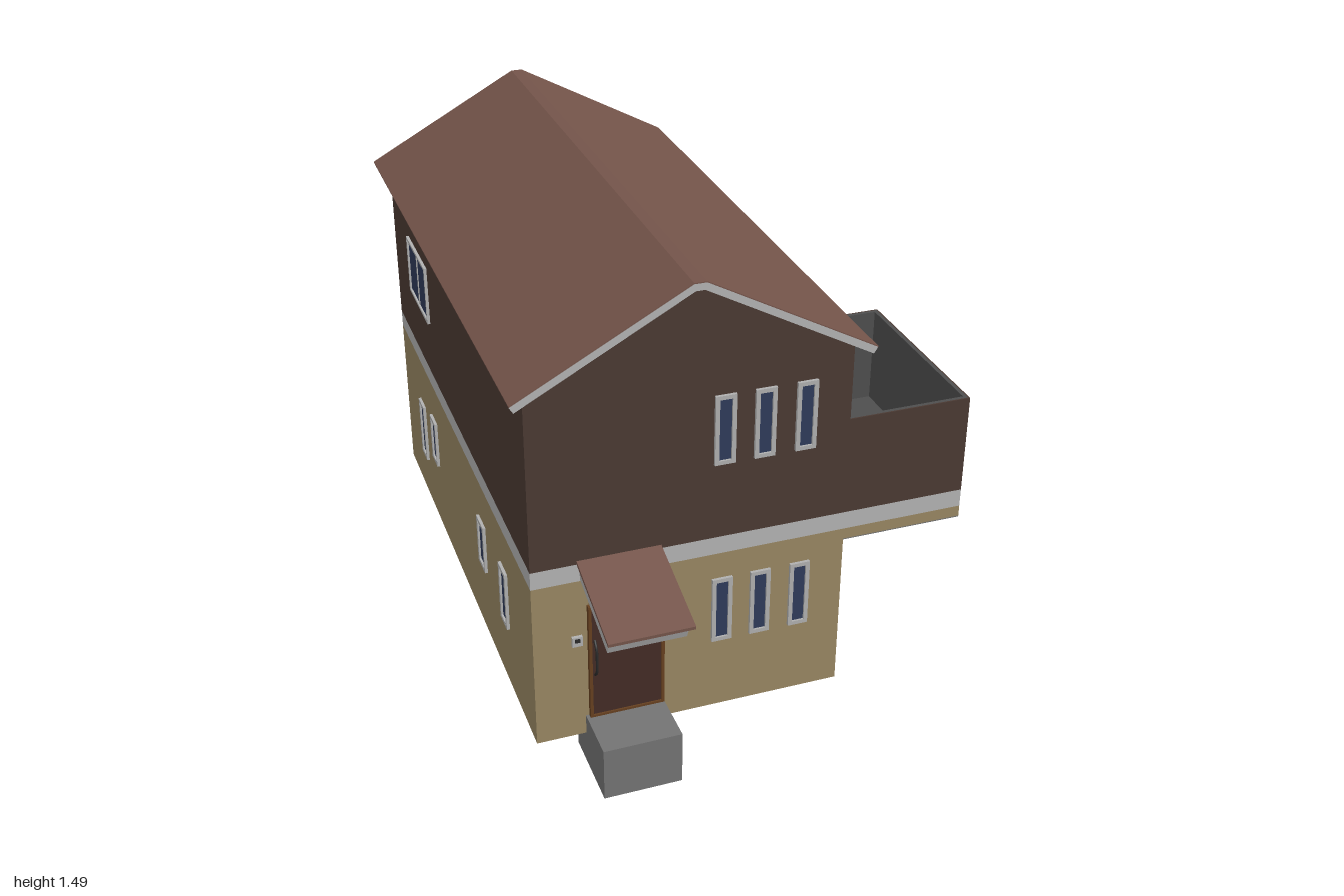
import * as THREE from 'three';

const mat = (color, side = THREE.FrontSide) => new THREE.MeshStandardMaterial({ color, side });
const M = {
  tan: mat(0x998763), brown: mat(0x4b3a33), band: mat(0xb3b3b3), roof: mat(0x74544a),
  frame: mat(0xb0b0b0), glass: mat(0x2f3b5a), stone: mat(0x737373), deck: mat(0x4e4e4e),
  door: mat(0x432c25), doorFrame: mat(0x664020), dark: mat(0x2a2a2a),
};
// House extents
const X0 = -0.62, X1 = 0.295, Z0 = -0.955, Z1 = 0.725;

function add(parent, name, geo, material) {
  const m = new THREE.Mesh(geo, material);
  m.name = name;
  parent.add(m);
  return m;
}

// Box given by its min and max on each axis
function box(parent, name, material, x0, x1, y0, y1, z0, z1) {
  const m = add(parent, name, new THREE.BoxGeometry(x1 - x0, y1 - y0, z1 - z0), material);
  m.position.set((x0 + x1) / 2, (y0 + y1) / 2, (z0 + z1) / 2);
  return m;
}

const poly = (pts) => new THREE.Shape(pts.map(([x, y]) => new THREE.Vector2(x, y)));
const extrude = (shape, depth) =>
  new THREE.ExtrudeGeometry(shape, { depth, bevelEnabled: false, curveSegments: 8 });

// Profile in (z, y), extruded along x from x0 to x1
function extrudeX(parent, name, material, pts, x0, x1) {
  const geo = extrude(poly(pts.map(([z, y]) => [-z, y])), x1 - x0);
  geo.rotateY(Math.PI / 2);
  geo.translate(x0, 0, 0);
  return add(parent, name, geo, material);
}

// Group whose local +z points out of the given wall and whose origin lies at (u, 0) on it
function onWall(parent, wall, u) {
  const g = new THREE.Group();
  if (wall === 'front') g.position.set(u, 0, Z1);
  if (wall === 'back') { g.position.set(u, 0, Z0); g.rotation.y = Math.PI; }
  if (wall === 'right') { g.position.set(X1, 0, u); g.rotation.y = Math.PI / 2; }
  if (wall === 'left') { g.position.set(X0, 0, u); g.rotation.y = -Math.PI / 2; }
  parent.add(g);
  return g;
}

// Framed window between a0..a1 along the wall and y0..y1, with one or two panes
function addWindow(parent, name, wall, a0, a1, y0, y1, panes = 1, t = 0.012) {
  const g = onWall(parent, wall, (a0 + a1) / 2);
  g.name = name;
  const w = a1 - a0, h = w / 2;
  const shape = poly([[-h, y0], [h, y0], [h, y1], [-h, y1]]);
  shape.holes.push(poly([[-h + t, y0 + t], [-h + t, y1 - t], [h - t, y1 - t], [h - t, y0 + t]]));
  add(g, 'windowFrame', extrude(shape, 0.009), M.frame);
  box(g, 'glass', M.glass, -h + t, h - t, y0 + t, y1 - t, 0, 0.003);
  if (panes === 2) box(g, 'mullion', M.frame, -0.004, 0.004, y0 + t, y1 - t, 0, 0.006);
  return g;
}

// Sliding door with a rounded shutter case on top
function addShutterDoor(parent, name, a0, a1, y0, y1) {
  const g = addWindow(parent, name, 'right', a0, a1, y0, y1 - 0.015, 2);
  const h = (a1 - a0) / 2 + 0.003;
  extrudeX(g, 'shutterCase', M.frame, [[0, y1 - 0.024], [0.03, y1 - 0.022], [0.031, y1 - 0.012],
    [0.026, y1 - 0.003], [0.018, y1], [0, y1]], -h, h);
  for (const s of [-1, 1]) box(g, 'shutterTrack', M.frame, s * h - 0.004, s * h + 0.004, y0, y1 - 0.02, 0, 0.012);
}

// U-shaped parapet open toward the house wall
function parapet(parent, name, material, x1, z0, z1, t, y0, y1) {
  const geo = extrude(poly([[X1, -z1], [x1, -z1], [x1, -z0], [X1, -z0], [X1, -z0 - t],
    [x1 - t, -z0 - t], [x1 - t, -z1 + t], [X1, -z1 + t]]), y1 - y0);
  geo.rotateX(-Math.PI / 2);
  geo.translate(0, y0, 0);
  add(parent, name, geo, material);
}

function buildBody(house) {
  box(house, 'lowerWalls', M.tan, X0, X1, 0.105, 0.63, Z0, Z1);
  box(house, 'wallBand', M.band, X0, X1, 0.63, 0.685, Z0, Z1);
  const gable = extrude(poly([[X0, 0.685], [X1, 0.685], [X1, 1.225], [-0.15, 1.467],
    [-0.175, 1.467], [X0, 1.225]]), Z1 - Z0);
  add(house, 'upperWalls', gable, M.brown).position.z = Z0;

  // Grey roof slab with a thin tiled skin on top
  const top = [[-0.665, 1.221], [-0.18, 1.483], [-0.145, 1.483], [0.34, 1.221]];
  const slab = [...top, [0.329, 1.203], [-0.15, 1.463], [-0.175, 1.463], [-0.654, 1.203]];
  add(house, 'roofSlab', extrude(poly(slab), 1.77), M.band).position.z = -1;
  const skin = [...top.map(([x, y]) => [x, y + 0.003]), ...top.slice().reverse()];
  add(house, 'roofTiles', extrude(poly(skin), 1.77), M.roof).position.z = -1;
}

function buildBalcony(house) {
  const g = new THREE.Group();
  g.name = 'balcony';
  house.add(g);
  const x1 = 0.66, z0 = 0.13;
  box(g, 'balconyUnderside', M.stone, X1, x1, 0.593, 0.596, z0, Z1);
  box(g, 'balconyBase', M.tan, X1, x1, 0.596, 0.63, z0, Z1);
  box(g, 'balconyBand', M.band, X1, x1, 0.63, 0.685, z0, Z1);
  box(g, 'balconyFloor', M.deck, X1, x1 - 0.01, 0.685, 0.69, z0 + 0.01, Z1 - 0.01);
  parapet(g, 'balconyWall', M.brown, x1, z0, Z1, 0.004, 0.685, 0.985);
  parapet(g, 'balconyLining', M.deck, x1 - 0.004, z0 + 0.004, Z1 - 0.004, 0.011, 0.685, 0.985);
}

function buildEntrance(house) {
  const g = new THREE.Group();
  g.name = 'entrance';
  house.add(g);
  box(g, 'step', M.stone, -0.475, -0.245, 0, 0.167, 0.64, 0.89);

  // Door, its frame, oval pane and handle
  const frame = poly([[-0.465, 0.167], [-0.245, 0.167], [-0.245, 0.547], [-0.465, 0.547]]);
  frame.holes.push(poly([[-0.456, 0.174], [-0.456, 0.539], [-0.254, 0.539], [-0.254, 0.174]]));
  add(g, 'doorFrame', extrude(frame, 0.015), M.doorFrame).position.z = Z1;
  box(g, 'door', M.door, -0.456, -0.254, 0.174, 0.539, Z1, Z1 + 0.01);
  const oval = new THREE.CylinderGeometry(1, 1, 0.006, 32).rotateX(Math.PI / 2).scale(0.029, 0.055, 1);
  add(g, 'doorPane', oval, M.tan).position.set(-0.36, 0.45, Z1 + 0.01);
  const grip = new THREE.CatmullRomCurve3([[0.31, 0.008], [0.33, 0.024], [0.37, 0.028], [0.41, 0.024], [0.43, 0.008]]
    .map(([y, z]) => new THREE.Vector3(-0.447, y, Z1 + z)));
  add(g, 'doorHandle', new THREE.TubeGeometry(grip, 16, 0.004, 8), M.dark);

  // Doorbell panel
  box(g, 'doorbell', M.frame, -0.511, -0.481, 0.42, 0.451, Z1, Z1 + 0.01);
  box(g, 'doorbellScreen', M.dark, -0.503, -0.489, 0.434, 0.446, Z1 + 0.01, Z1 + 0.012);

  // Sloping canopy on two diagonal struts
  extrudeX(g, 'canopyTiles', M.roof, [[Z1, 0.685], [1, 0.607], [1, 0.616], [Z1, 0.696]], -0.49, -0.25);
  extrudeX(g, 'canopySlab', M.band, [[Z1, 0.636], [0.965, 0.563], [0.985, 0.611], [Z1, 0.685]], -0.482, -0.262);
  for (const x of [-0.46, -0.298])
    extrudeX(g, 'canopyStrut', M.tan, [[Z1, 0.548], [Z1, 0.578], [0.765, 0.624], [0.795, 0.615]], x, x + 0.033);
}

function buildWindows(house) {
  for (const x of [-0.072, 0.043, 0.162]) {
    addWindow(house, 'upperFrontWindow', 'front', x - 0.03, x + 0.03, 0.92, 1.13);
    addWindow(house, 'lowerFrontWindow', 'front', x - 0.03, x + 0.03, 0.337, 0.548);
  }
  addShutterDoor(house, 'frontSlidingDoor', 0.275, 0.59, 0.165, 0.56);
  addShutterDoor(house, 'rearSlidingDoor', -0.595, -0.28, 0.165, 0.56);
  addShutterDoor(house, 'balconyDoor', 0.185, 0.607, 0.69, 1.14);
  addWindow(house, 'upperSideWindow', 'right', -0.61, -0.34, 0.875, 1.065, 2, 0.009);

  // Small window with slats
  const louvre = addWindow(house, 'louvreWindow', 'right', -0.85, -0.775, 0.33, 0.535, 1, 0.009);
  for (let i = 0; i < 9; i++) {
    const y = 0.349 + i * 0.021;
    box(louvre, 'slat', M.frame, -0.029, 0.029, y - 0.002, y + 0.002, 0.002, 0.015).rotation.x = 0.4;
  }

  for (const [a, b] of [[-0.075, 0.135], [-0.465, -0.255]])
    addWindow(house, 'upperBackWindow', 'back', a, b, 0.9, 1.045, 2, 0.007);
  addWindow(house, 'lowerBackWindow', 'back', 0.01, 0.2, 0.478, 0.56);

  addWindow(house, 'upperLeftWindow', 'left', -0.705, -0.435, 0.878, 1.07, 2, 0.009);
  for (const [a, b, y0, y1] of [[-0.705, -0.63, 0.265, 0.47], [-0.52, -0.445, 0.345, 0.505],
    [0.125, 0.205, 0.345, 0.505], [0.385, 0.46, 0.315, 0.505]])
    addWindow(house, 'lowerLeftWindow', 'left', a, b, y0, y1);
}

export function createModel() {
  const house = new THREE.Group();
  house.name = 'house';
  buildBody(house);
  buildBalcony(house);
  buildEntrance(house);
  buildWindows(house);
  return house;
}
